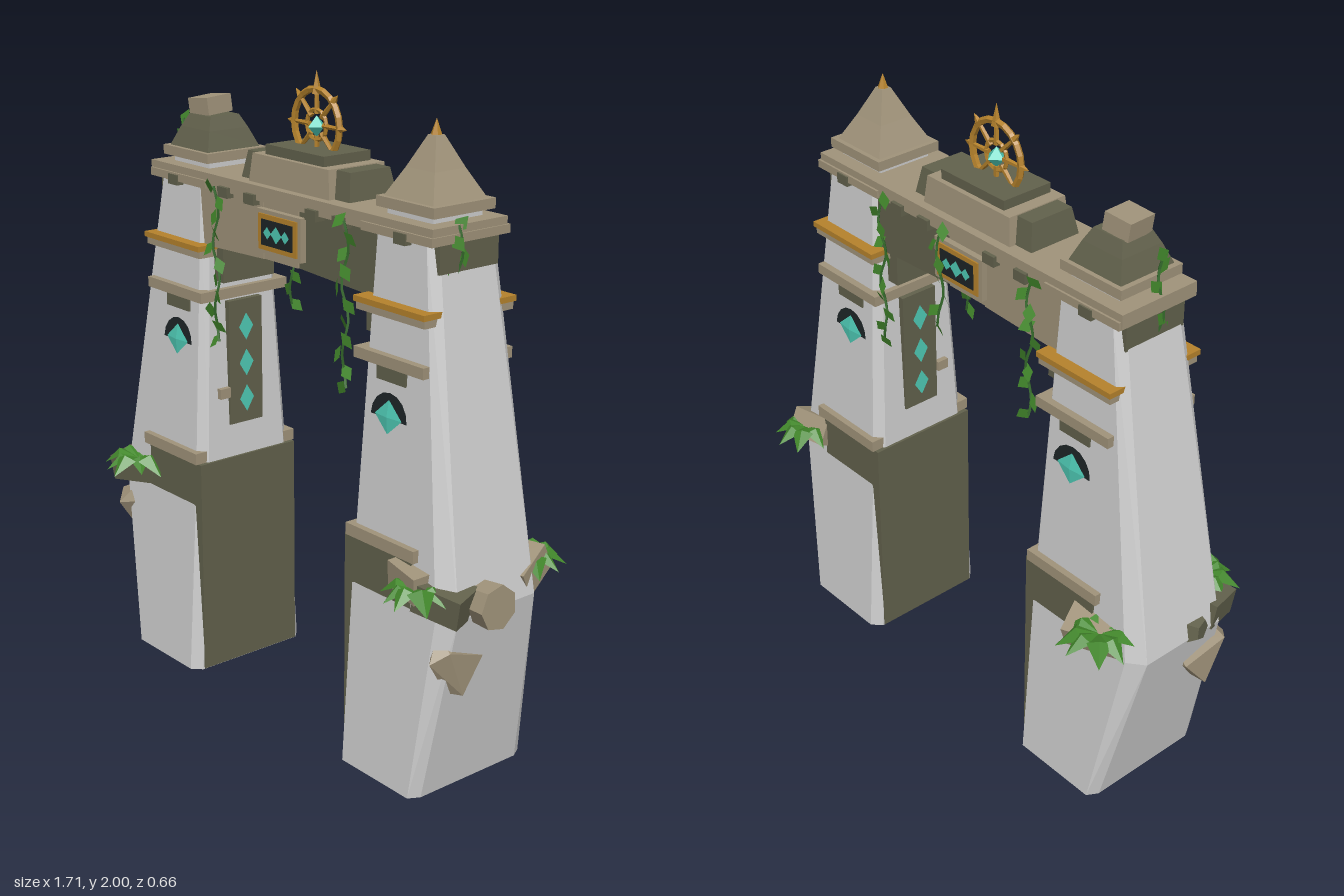
import * as THREE from 'three';
import { ConvexGeometry } from 'three/addons/geometries/ConvexGeometry.js';

const mat = (name, color, side = THREE.FrontSide) => {
  const m = new THREE.MeshStandardMaterial({ color, side, flatShading: true });
  m.name = name;
  return m;
};

export function createModel() {
  const root = new THREE.Group();
  root.name = 'stoneGateway';
  const M = {
    pale: mat('paleStone', 0xcfcfcf), tan: mat('tanStone', 0xa0937a), dark: mat('mossyStone', 0x62614c),
    gold: mat('gold', 0xb5822c), teal: mat('tealCrystal', 0x4fcbb6, THREE.DoubleSide),
    black: mat('blackInlay', 0x1d2426, THREE.DoubleSide),
    leaf: mat('leafGreen', 0x43892c, THREE.DoubleSide), vine: mat('vineGreen', 0x33682a, THREE.DoubleSide),
  };
  const ZC = 0.013; // depth centre of the masonry
  const add = (name, geo, m, x = 0, y = 0, z = 0, parent = root) => {
    const mesh = new THREE.Mesh(geo, m);
    mesh.name = name;
    mesh.position.set(x, y, z);
    parent.add(mesh);
    return mesh;
  };
  // box given by its limits in x and y, plus half depth
  const block = (name, m, x0, x1, y0, y1, hz, zc = ZC) =>
    add(name, new THREE.BoxGeometry(Math.abs(x1 - x0), y1 - y0, hz * 2), m, (x0 + x1) / 2, (y0 + y1) / 2, zc);
  // square tapered block with half sizes at bottom and top
  const taper = (name, m, x, y0, y1, a, b, c, d, zc = ZC) => {
    const pts = [];
    for (const sx of [-1, 1]) for (const sz of [-1, 1])
      pts.push(new THREE.Vector3(sx * a, y0, sz * b), new THREE.Vector3(sx * c, y1, sz * d));
    return add(name, new ConvexGeometry(pts), m, x, 0, zc);
  };
  const diamond = (w, h) => new THREE.ShapeGeometry(new THREE.Shape(
    [[0, -h], [w, 0], [0, h], [-w, 0]].map(p => new THREE.Vector2(...p))));
  let seed = 7;
  const rnd = () => (seed = (seed * 16807) % 2147483647) / 2147483647;

  // arched fan inlay
  const fan = new THREE.Shape();
  fan.absarc(0, 0, 0.075, 0, Math.PI, false);
  fan.absarc(0, 0, 0.03, Math.PI, 0, true);
  const fanGeo = new THREE.ShapeGeometry(fan, 4);

  // ---- towers ----
  for (const s of [-1, 1]) {
    const side = s > 0 ? 'left' : 'right';
    const bulge = s > 0 ? 0.795 : 0.83;
    // chamfered shaft: [height, inner, outer, half depth, inner chamfer, outer chamfer x, outer chamfer z]
    const pts = [];
    for (const [y, i, o, h, c, cx, cz] of [
      [0, 0.36, 0.7, 0.226, 0.03, 0.02, 0.035], [0.58, 0.36, bulge, 0.19, 0.03, 0.05, 0.04],
      [1.62, 0.395, 0.632, 0.126, 0.02, 0.02, 0.03]])
      for (const z of [-1, 1])
        for (const [x, d] of [[i, h - c], [i + c, h], [o - cx, h], [o, h - cz]]) pts.push(new THREE.Vector3(s * x, y, z * d));
    add(side + 'Shaft', new ConvexGeometry(pts), M.pale, 0, 0, ZC);

    // courses and mouldings
    block(side + 'InnerCore', M.dark, s * 0.356, s * 0.64, 0.003, 0.72, 0.1905);
    block(side + 'LowerBand', M.tan, s * 0.37, s * 0.66, 0.72, 0.757, 0.2);
    block(side + 'MiddleBand', M.tan, s * 0.365, s * 0.655, 1.25, 1.283, 0.17);
    block(side + 'UpperBand', M.tan, s * 0.372, s * 0.655, 1.392, 1.415, 0.168);
    block(side + 'GoldTrim', M.gold, s * 0.368, s * 0.66, 1.415, 1.432, 0.175);
    block(side + 'NeckBlock', M.dark, s * 0.4, s * 0.648, 1.53, 1.61, 0.11);
    block(side + 'Corbel', M.dark, s * 0.34, s * 0.42, 1.31, 1.42, 0.1);
    block(side + 'RoofNeck', M.pale, s * 0.415, s * 0.6, 1.64, 1.685, 0.092);
    block(side + 'RoofBase', M.tan, s * 0.393, s * 0.627, 1.68, 1.71, 0.115);
    block(side + 'InnerStud', M.tan, s * 0.355, s * 0.4, 0.925, 0.958, 0.02, 0.1);

    // inner crystal panel
    block(side + 'InnerPanel', M.dark, s * 0.362, s * 0.39, 0.83, 1.24, 0.065);
    for (let k = 0; k < 3; k++)
      add(side + 'PanelCrystal', diamond(0.028, 0.045), M.teal, s * 0.359, 0.91 + k * 0.12, ZC).rotation.y = -s * Math.PI / 2;

    // front and back inlays lying on the sloping face
    for (const f of [1, -1]) {
      const g = new THREE.Group();
      g.name = side + (f > 0 ? 'FrontInlay' : 'BackInlay');
      g.position.set(s * 0.508, 1.1, ZC + f * 0.162);
      g.rotation.set(-f * 0.062, f > 0 ? 0 : Math.PI, 0);
      add('fan', fanGeo, M.black, 0, 0, 0, g);
      add('crystal', new THREE.ConeGeometry(0.056, 0.05, 4).scale(1, 1, 0.12), M.teal, 0, 0.03, 0.002, g);
      add('crystalBase', new THREE.ConeGeometry(0.056, 0.05, 4).rotateX(Math.PI).scale(1, 1, 0.12), M.teal, 0, -0.02, 0.002, g);
      root.add(g);
      block(side + 'InlayLintel', M.dark, s * 0.45, s * 0.57, 1.205, 1.25, 0.02, ZC + f * 0.137);
    }
  }

  // ---- roofs: whole spire on one tower, broken stump on the other ----
  taper('spireLower', M.tan, 0.508, 1.71, 1.79, 0.1, 0.1, 0.058, 0.058);
  taper('spireUpper', M.tan, 0.508, 1.79, 1.88, 0.058, 0.058, 0.016, 0.016);
  add('spireTip', new THREE.ConeGeometry(0.022, 0.06, 6), M.gold, 0.508, 1.895, ZC);
  taper('stumpLower', M.dark, -0.51, 1.71, 1.77, 0.1, 0.1, 0.075, 0.075);
  taper('stumpUpper', M.dark, -0.51, 1.77, 1.81, 0.075, 0.075, 0.055, 0.055);
  add('brokenCap', new THREE.BoxGeometry(0.09, 0.055, 0.1), M.tan, -0.53, 1.836, ZC).rotation.set(0.05, 0.1, 0.1);

  // ---- bridge ----
  block('bridgeSlab', M.tan, -0.66, 0.65, 1.615, 1.66, 0.14);
  for (const [n, m, x0, x1, b0, b1, h] of [
    ['bridgeRight', M.tan, -0.6, -0.1, 1.42, 1.438, 0.127], ['bridgeMiddle', M.tan, -0.1, 0.06, 1.438, 1.438, 0.123],
    ['bridgeLeft', M.dark, 0.06, 0.4, 1.438, 1.42, 0.118]]) {
    const p = new THREE.Shape([[x0, b0], [x1, b1], [x1, 1.617], [x0, 1.617]].map(q => new THREE.Vector2(...q)));
    add(n, new THREE.ExtrudeGeometry(p, { depth: h * 2, bevelEnabled: false }), m, 0, 0, ZC - h);
  }
  for (const x of [-0.53, -0.27, -0.14, 0.15, 0.27, 0.53])
    block('dentil', M.dark, x - 0.024, x + 0.024, 1.6, 1.632, 0.152);
  for (const s of [-1, 1]) {
    block('capitalLedge', M.tan, s * 0.365, s * 0.655, 1.612, 1.637, 0.147);
    taper('crestShoulder', M.dark, s * 0.205, 1.66, 1.742, 0.047, 0.09, 0.032, 0.075);
  }
  taper('crestBase', M.tan, 0, 1.66, 1.745, 0.187, 0.112, 0.177, 0.105);
  block('crestTop', M.dark, -0.135, 0.135, 1.74, 1.775, 0.088);

  // plaque on both faces
  for (const f of [1, -1]) {
    const g = new THREE.Group();
    g.name = f > 0 ? 'frontPlaque' : 'backPlaque';
    g.position.set(-0.004, 1.53, ZC + f * 0.136);
    g.rotation.y = f > 0 ? 0 : Math.PI;
    add('plaqueStone', new THREE.BoxGeometry(0.208, 0.132, 0.02), M.tan, 0, 0, 0, g);
    add('plaqueFrame', new THREE.BoxGeometry(0.18, 0.108, 0.01), M.gold, 0, 0, 0.01, g);
    add('plaqueInset', new THREE.BoxGeometry(0.145, 0.078, 0.006), M.black, 0, 0, 0.0145, g);
    for (const [x, w] of [[-0.042, 0.019], [0, 0.026], [0.042, 0.019]])
      add('plaqueCrystal', diamond(w, w), M.teal, x, 0, 0.019, g);
    root.add(g);
  }

  // ---- wheel crest ----
  const wheel = new THREE.Group();
  wheel.name = 'wheelCrest';
  wheel.position.set(-0.004, 1.84, ZC);
  root.add(wheel);
  add('rim', new THREE.TorusGeometry(0.104, 0.011, 5, 20), M.gold, 0, 0, 0, wheel);
  add('innerRing', new THREE.TorusGeometry(0.045, 0.007, 5, 12), M.gold, 0, 0, 0, wheel);
  add('hubCrystal', new THREE.OctahedronGeometry(0.032), M.teal, 0, -0.005, 0, wheel);
  for (let k = 0; k < 8; k++) {
    const a = k * Math.PI / 4, spoke = new THREE.Group();
    spoke.name = 'spoke';
    spoke.rotation.z = a;
    add('spokeBar', new THREE.CylinderGeometry(0.006, 0.009, 0.075, 5), M.gold, 0, 0.07, 0, spoke);
    if (k % 4 !== 0) add('spokePoint', new THREE.ConeGeometry(0.012, 0.03, 5), M.gold, 0, 0.122, 0, spoke);
    wheel.add(spoke);
  }
  add('finial', new THREE.ConeGeometry(0.016, 0.07, 5), M.gold, 0, 0.125, 0, wheel);

  // ---- fallen stones lodged on the towers ----
  const slab = (m, x, y, z, w, h, d, rx, ry, rz) =>
    add('lodgedSlab', new THREE.BoxGeometry(w, h, d), m, x, y, z).rotation.set(rx, ry, rz);
  slab(M.dark, -0.735, 0.615, 0.17, 0.18, 0.085, 0.12, 0.1, 0.25, 0.1);
  slab(M.tan, -0.66, 0.63, -0.175, 0.17, 0.08, 0.11, -0.4, 0.35, 0.1);
  slab(M.tan, 0.64, 0.665, 0.19, 0.13, 0.085, 0.09, 0.1, -0.15, -0.1);
  slab(M.dark, 0.735, 0.625, 0.16, 0.15, 0.09, 0.11, 0.1, 0.3, -0.2);
  slab(M.tan, 0.71, 0.635, -0.15, 0.14, 0.09, 0.13, 0.5, 0.2, -0.1);
  add('hexStone', new THREE.CylinderGeometry(0.06, 0.068, 0.11, 7).rotateZ(Math.PI / 2), M.tan, 0.8, 0.61, 0.065).rotation.z = 0.05;
  const boulder = (m, x, y, z, sx, sy, sz, r) => {
    const b = add('boulder', new THREE.DodecahedronGeometry(1), m, x, y, z);
    b.scale.set(sx, sy, sz);
    b.rotation.set(r, r * 0.5, r * 0.7);
  };
  const shard = [[-0.08, 0.05, 0.06], [0.02, 0.1, 0.05], [0.08, 0.04, 0.04], [-0.07, -0.1, 0], [-0.02, -0.09, 0.04],
    [0, 0.08, -0.1], [0.05, -0.03, -0.08], [-0.06, 0, -0.08], [-0.03, 0.02, 0.11]].map(p => new THREE.Vector3(...p));
  add('cornerShard', new ConvexGeometry(shard), M.tan, -0.755, 0.455, 0.13);
  const mirrored = shard.map(p => new THREE.Vector3(-p.x * 0.6, p.y, p.z));
  add('cornerShard', new ConvexGeometry(mirrored), M.tan, 0.735, 0.43, 0.12);
  boulder(M.dark, -0.8, 0.59, 0.07, 0.05, 0.055, 0.06, 0.5);

  // ---- plants ----
  const leafGeo = new THREE.BufferGeometry(); // folded leaf along +x, drooping at the tip
  leafGeo.setAttribute('position', new THREE.Float32BufferAttribute(
    [0, 0, 0, 0.55, 0.22, 0, 0.45, 0.08, 0.3, 0.45, 0.08, -0.3, 1, -0.25, 0], 3));
  leafGeo.setIndex([0, 2, 1, 0, 1, 3, 2, 4, 1, 1, 4, 3]);
  leafGeo.computeVertexNormals();
  for (const [x, z] of [[-0.7, 0.215], [-0.7, -0.205], [0.68, 0.22], [0.71, -0.2]]) {
    const g = new THREE.Group();
    g.name = 'fernTuft';
    g.position.set(x, 0.655, z);
    for (let k = 0; k < 9; k++) {
      const l = add('frond', leafGeo, M.leaf, 0, 0, 0, g);
      l.rotation.y = k * Math.PI * 2 / 9 + rnd() * 0.3;
      l.scale.setScalar(0.1 + rnd() * 0.035);
    }
    root.add(g);
  }
  // hanging vines: x, z, top, bottom, turn
  for (const [x, z, top, low, turn] of [
    [-0.305, 0.165, 1.63, 1.14, 0], [0.31, 0.168, 1.63, 1.14, 0], [-0.325, -0.148, 1.63, 1.2, 0], [0.33, -0.148, 1.63, 1.15, 0],
    [0.065, -0.145, 1.63, 1.31, 0], [-0.645, 0.03, 1.78, 1.4, 1.4], [0.648, 0.05, 1.66, 1.43, 1.4]]) {
    const n = Math.round((top - low) / 0.05), pts = [];
    for (let k = 0; k <= n; k++)
      pts.push(new THREE.Vector3(x + Math.sin(k * 1.3) * 0.01, top + (low - top) * k / n, z + Math.cos(k * 1.7) * 0.006));
    add('vineStem', new THREE.TubeGeometry(new THREE.CatmullRomCurve3(pts), n * 2, 0.005, 4), M.vine);
    pts.forEach((p, k) => {
      const l = add('vineLeaf', diamond(0.02, 0.03), M.leaf, p.x + (k % 2 ? 0.015 : -0.015) * Math.cos(turn), p.y,
        p.z + Math.sign(z) * 0.005 + (k % 2 ? 0.015 : -0.015) * Math.sin(turn));
      l.rotation.set(rnd() - 0.5, turn + rnd() - 0.5, (k % 2 ? 0.6 : -0.6) + rnd() * 0.4);
    });
  }
  return root;
}
